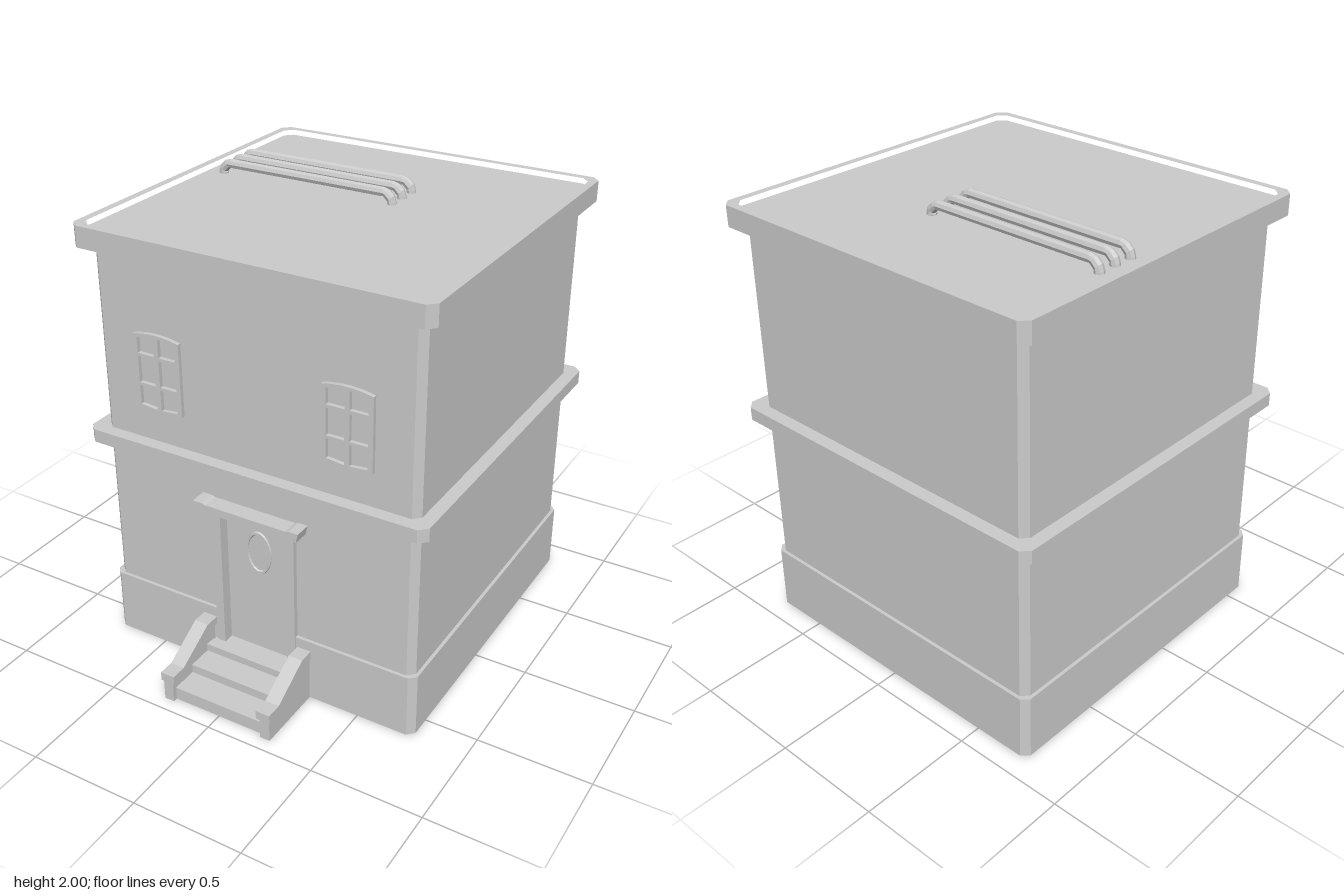
import * as THREE from 'three';

const CZ = -0.14; // centre of the building in z (the steps stick out in front)
const solid = new THREE.MeshStandardMaterial({ color: 0xcccccc, flatShading: true });
const thin = new THREE.MeshStandardMaterial({ color: 0xcccccc, flatShading: true, side: THREE.DoubleSide });

function add(parent, name, geometry, material = solid) {
  const mesh = new THREE.Mesh(geometry, material);
  mesh.name = name;
  parent.add(mesh);
  return mesh;
}

function box(x0, x1, y0, y1, z0, z1) {
  return new THREE.BoxGeometry(x1 - x0, y1 - y0, z1 - z0)
    .translate((x0 + x1) / 2, (y0 + y1) / 2, (z0 + z1) / 2);
}

function extrude(shape, depth) {
  return new THREE.ExtrudeGeometry(shape, { depth, bevelEnabled: false, curveSegments: 8 });
}

const shapeOf = (pts) => new THREE.Shape(pts.map(([x, y]) => new THREE.Vector2(x, y)));

// Square plan with cut corners, running from the front middle round to the front middle
function plan(h, c, gap = 0) {
  return [[gap, h], [h - c, h], [h, h - c], [h, c - h], [h - c, -h],
    [c - h, -h], [-h, c - h], [-h, h - c], [c - h, h], [-gap, h]];
}

// Strip of faces joining a list of equally long rows of points
function loft(rows) {
  const n = rows[0].length, index = [];
  for (let r = 0; r < rows.length - 1; r++) {
    for (let i = 0; i < n - 1; i++) {
      const a = r * n + i, b = a + 1, c = b + n, d = a + n;
      index.push(a, b, c, a, c, d);
    }
  }
  const g = new THREE.BufferGeometry();
  g.setAttribute('position', new THREE.Float32BufferAttribute(rows.flat(2), 3));
  g.setIndex(index);
  const flat = g.toNonIndexed();
  flat.computeVertexNormals();
  return flat;
}

// Wall shell from [y, halfWidth] levels, with an optional gap at the front
function walls(levels, gap) {
  return loft(levels.map(([y, h]) => plan(h, 0.03, gap).map(([x, z]) => [x, y, z + CZ])));
}

// Horizontal slab with cut corners, optionally hollow
function slab(h, c, y0, y1, inner) {
  const shape = shapeOf(plan(h, c).slice(1, -1));
  if (inner) shape.holes.push(shapeOf(plan(inner, c).slice(1, -1)));
  return extrude(shape, y1 - y0).rotateX(-Math.PI / 2).translate(0, y0, CZ);
}

// Six-pane window lattice with slightly bowed top and bottom
function windowFrame() {
  const w = 0.113;
  const s = new THREE.Shape();
  s.moveTo(-w, 1.2);
  s.quadraticCurveTo(0, 1.178, w, 1.2);
  s.lineTo(w, 1.528);
  s.quadraticCurveTo(0, 1.556, -w, 1.528);
  s.closePath();
  for (const side of [-1, 1]) {
    const a = side * 0.011, b = side * 0.092;
    const panes = [
      [1.205, 1.213, 1.3, 1.3],
      [1.313, 1.313, 1.432, 1.432],
      [1.446, 1.446, 1.528, 1.516],
    ];
    for (const [lowA, lowB, highA, highB] of panes) {
      s.holes.push(shapeOf([[a, lowA], [b, lowB], [b, highB], [a, highA]]));
    }
  }
  return extrude(s, 0.02);
}

export function createModel() {
  const model = new THREE.Group();
  model.name = 'townhouse';

  // Hollow lower storey with plinth, open below and at the doorway
  add(model, 'lowerWalls', walls([[0, 0.762], [0.295, 0.762], [0.295, 0.747], [0.985, 0.747]], 0.2), thin);
  add(model, 'wallAboveDoor', loft([
    [[-0.2, 0.82, 0.607], [0.2, 0.82, 0.607]],
    [[-0.2, 0.985, 0.607], [0.2, 0.985, 0.607]],
  ]), thin);

  // Band, upper storey, cornice and sunken roof
  add(model, 'floorBand', slab(0.805, 0.035, 0.985, 1.045));
  add(model, 'upperWalls', walls([[1.045, 0.747], [1.865, 0.747]], 0), thin);
  add(model, 'cornice', slab(0.805, 0.035, 1.865, 1.957, 0.77));
  add(model, 'roof', slab(0.772, 0.035, 1.865, 1.932));

  // Roof rails with bent ends
  const railPath = new THREE.CurvePath();
  const railPoints = [[-0.695, 1.925], [-0.69, 1.955], [-0.665, 1.979], [0.12, 1.979], [0.145, 1.955], [0.15, 1.925]]
    .map(([x, y]) => new THREE.Vector3(x, y, 0));
  for (let i = 0; i < railPoints.length - 1; i++) {
    railPath.add(new THREE.LineCurve3(railPoints[i], railPoints[i + 1]));
  }
  for (const z of [-0.255, -0.343, -0.431]) {
    add(model, 'roofRail', new THREE.TubeGeometry(railPath, 60, 0.021, 8)).position.z = z;
  }

  // Upper windows
  for (const x of [-0.442, 0.442]) {
    add(model, 'windowFrame', windowFrame()).position.set(x, 0, 0.605);
  }

  // Doorway
  const doorway = new THREE.Group();
  doorway.name = 'doorway';
  model.add(doorway);
  add(doorway, 'door', box(-0.165, 0.165, 0.13, 0.815, 0.565, 0.58));
  for (const s of [-1, 1]) {
    add(doorway, 'doorJamb', box(s * 0.18 - 0.02, s * 0.18 + 0.02, 0, 0.825, 0.56, 0.63));
  }
  add(doorway, 'doorHead', box(-0.16, 0.16, 0.808, 0.825, 0.56, 0.615));
  const oval = add(doorway, 'ovalDoorTrim', new THREE.TorusGeometry(1, 0.09, 6, 24));
  oval.scale.set(0.057, 0.096, 0.08);
  oval.position.set(0, 0.63, 0.581);
  add(doorway, 'doorHood', extrude(shapeOf([
    [-0.245, 0.82], [0.245, 0.82], [0.255, 0.862], [0.21, 0.862],
    [0.195, 0.857], [-0.195, 0.857], [-0.21, 0.862], [-0.255, 0.862],
  ]), 0.077).translate(0, 0, 0.605));

  // Front steps, open underneath
  const steps = new THREE.Group();
  steps.name = 'frontSteps';
  model.add(steps);
  const treads = [[0, 0.92], [0.06, 0.92], [0.06, 0.8], [0.1, 0.8], [0.1, 0.685], [0.135, 0.685], [0.135, 0.565]];
  add(steps, 'treads', loft(treads.map(([y, z]) => {
    const w = z > 0.63 ? 0.225 : 0.2;
    return [[-w, y, z], [w, y, z]];
  })), thin);

  // Sloping side walls with a wider coping
  const wall = shapeOf([[0.61, 0], [0.94, 0], [0.94, 0.1], [0.865, 0.1], [0.685, 0.21], [0.61, 0.21]]);
  const coping = shapeOf([[0.61, 0.21], [0.685, 0.21], [0.865, 0.1], [0.948, 0.1],
    [0.948, 0.14], [0.875, 0.14], [0.69, 0.247], [0.61, 0.247]]);
  const cheek = (shape, width, x) =>
    extrude(shape, width).translate(0, 0, -width / 2).rotateY(-Math.PI / 2).translate(x, 0, 0);
  for (const s of [-1, 1]) {
    add(steps, 'stepSideWall', cheek(wall, 0.046, s * 0.243));
    add(steps, 'stepCoping', cheek(coping, 0.066, s * 0.24));
  }

  return model;
}
